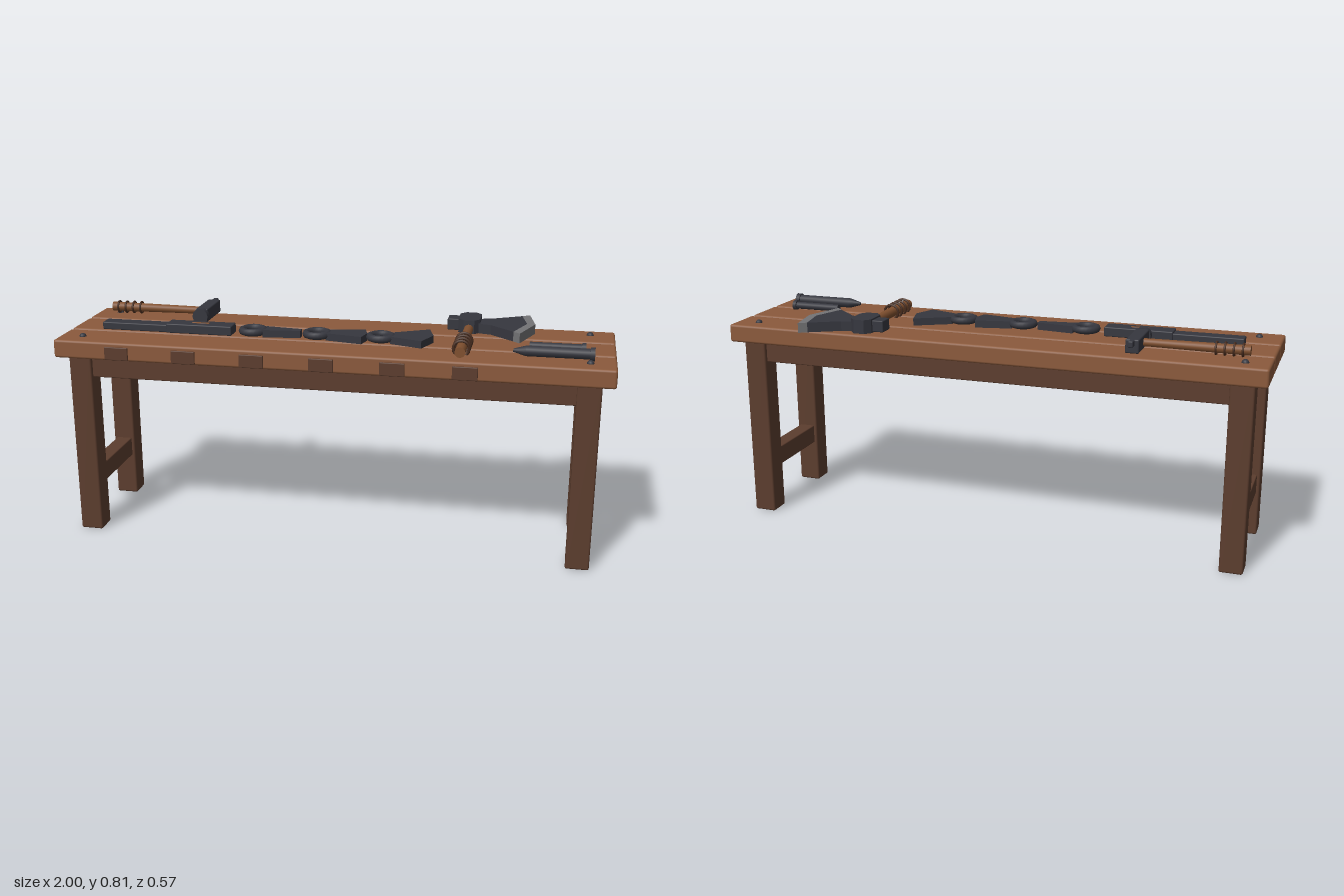
import * as THREE from 'three';
import { RoundedBoxGeometry } from 'three/addons/geometries/RoundedBoxGeometry.js';

const material = (name, color) => {
  const m = new THREE.MeshStandardMaterial({ color });
  m.name = name;
  return m;
};

export function createModel() {
  const plankWood = material('plank wood', 0x8b5a3c);
  const frameWood = material('frame wood', 0x5c3d2e);
  const handleWood = material('handle wood', 0x80502f);
  const wrap = material('leather wrap', 0x4a2e20);
  const iron = material('dark iron', 0x36373f);
  const steel = material('sharpened steel', 0x747476);

  const root = new THREE.Group();
  root.name = 'workbench';
  const group = (name) => {
    const g = new THREE.Group();
    g.name = name;
    root.add(g);
    return g;
  };
  const add = (parent, name, geometry, mat, x = 0, y = 0, z = 0) => {
    const mesh = new THREE.Mesh(geometry, mat);
    mesh.name = name;
    mesh.position.set(x, y, z);
    parent.add(mesh);
    return mesh;
  };
  // Box given by its limits on each axis, with softly rounded edges
  const block = (parent, name, mat, [x0, x1], [y0, y1], [z0, z1], r = 0.004) =>
    add(parent, name, new RoundedBoxGeometry(x1 - x0, y1 - y0, z1 - z0, 2, r), mat,
      (x0 + x1) / 2, (y0 + y1) / 2, (z0 + z1) / 2);
  // Flat outline of [x, z] points raised from y0 to y1
  const slab = (parent, name, mat, points, y0, y1) => {
    const shape = new THREE.Shape(points.map(([x, z]) => new THREE.Vector2(x, -z)));
    const g = new THREE.ExtrudeGeometry(shape, { depth: y1 - y0, bevelEnabled: false });
    return add(parent, name, g.rotateX(-Math.PI / 2), mat, 0, y0, 0);
  };
  // Rods along the x or z axis; r1 is the radius at the positive end
  const rodX = (parent, name, mat, x0, x1, y, z, r0, r1 = r0, sides = 12) =>
    add(parent, name, new THREE.CylinderGeometry(r1, r0, x1 - x0, sides).rotateZ(-Math.PI / 2),
      mat, (x0 + x1) / 2, y, z);
  const rodZ = (parent, name, mat, z0, z1, x, y, r0, r1 = r0, sides = 12) =>
    add(parent, name, new THREE.CylinderGeometry(r1, r0, z1 - z0, sides).rotateX(Math.PI / 2),
      mat, x, y, (z0 + z1) / 2);

  // Table top of three planks
  const top = group('tableTop');
  for (const z of [0.189, 0.014, -0.161]) {
    block(top, 'plank', plankWood, [-1, 1], [0.683, 0.75], [z - 0.081, z + 0.081], 0.009);
  }
  for (const x of [-0.913, 0.91]) for (const z of [-0.177, 0.2]) {
    add(top, 'bolt', new THREE.SphereGeometry(0.013, 12, 6, 0, Math.PI * 2, 0, Math.PI / 2),
      iron, x, 0.749, z);
  }

  // Legs, end stretchers and long aprons
  const frame = group('frame');
  for (const side of [-1, 1]) {
    const x = side * 0.913;
    for (const z of [0.202, -0.173]) {
      block(frame, 'leg', frameWood, [x - 0.042, x + 0.042], [0, 0.685], [z - 0.042, z + 0.042], 0.007);
    }
    block(frame, 'stretcher', frameWood, [x - 0.03, x + 0.03], [0.165, 0.238], [-0.135, 0.165]);
  }
  for (const z of [0.202, -0.173]) {
    block(frame, 'apron', frameWood, [-0.875, 0.875], [0.605, 0.685], [z - 0.027, z + 0.027]);
  }

  // Row of tool loops along the front edge
  const loops = group('toolLoops');
  for (let i = 0; i < 6; i++) {
    const x = -0.755 + i * 0.25;
    block(loops, 'toolLoop', frameWood, [x - 0.044, x + 0.044], [0.69, 0.738], [0.279, 0.287], 0.003);
  }

  // Hammer
  const hammer = group('hammer');
  rodX(hammer, 'hammerHandle', handleWood, -0.925, -0.54, 0.783, -0.14, 0.018, 0.014);
  for (let i = 0; i < 4; i++) {
    const ring = add(hammer, 'gripRing', new THREE.TorusGeometry(0.021, 0.004, 6, 16),
      wrap, -0.9 + i * 0.03, 0.783, -0.14);
    ring.rotation.y = Math.PI / 2;
  }
  block(hammer, 'hammerHead', iron, [-0.563, -0.515], [0.76, 0.809], [-0.222, -0.055], 0.005);
  rodZ(hammer, 'hammerFace', iron, -0.06, -0.034, -0.539, 0.784, 0.03);
  block(hammer, 'hammerPeen', iron, [-0.548, -0.53], [0.786, 0.809], [-0.25, -0.215]);

  // Long flat bar with a wooden inlay
  const bar = group('flatBar');
  block(bar, 'barTang', iron, [-0.88, -0.625], [0.75, 0.778], [0.034, 0.089]);
  block(bar, 'barBody', iron, [-0.63, -0.38], [0.75, 0.785], [0.028, 0.095]);
  block(bar, 'barInlay', handleWood, [-0.538, -0.472], [0.782, 0.787], [0.055, 0.067], 0.002);

  // Ring-handled scrapers, each with a different blade
  const scrapers = group('scrapers');
  const blades = [
    [-0.305, [[-0.262, 0.03], [-0.125, 0.047], [-0.125, 0.075], [-0.262, 0.09]]],
    [-0.065, [[-0.028, 0.032], [0.105, 0.005], [0.12, 0.06], [0.107, 0.115], [-0.028, 0.088]]],
    [0.17, [[0.207, 0.03], [0.335, -0.04], [0.358, 0.045], [0.325, 0.13], [0.207, 0.09]]],
  ];
  for (const [x, outline] of blades) {
    add(scrapers, 'scraperRing', new THREE.TorusGeometry(0.04, 0.014, 8, 24).rotateX(Math.PI / 2),
      iron, x, 0.768, 0.06);
    slab(scrapers, 'scraperBlade', iron, outline, 0.751, 0.778);
  }

  // Axe with wrapped grip and bright cutting edge
  const axe = group('axe');
  rodZ(axe, 'axeHandle', handleWood, -0.14, 0.224, 0.47, 0.77, 0.017, 0.019);
  for (const z of [0.065, 0.102, 0.139, 0.176]) {
    add(axe, 'gripRing', new THREE.TorusGeometry(0.028, 0.005, 6, 16), wrap, 0.47, 0.771, z);
  }
  slab(axe, 'axeEye', iron, [[0.43, -0.205], [0.45, -0.228], [0.49, -0.228], [0.51, -0.205],
    [0.51, -0.125], [0.49, -0.102], [0.45, -0.102], [0.43, -0.125]], 0.752, 0.803);
  block(axe, 'axePoll', iron, [0.388, 0.432], [0.755, 0.798], [-0.197, -0.137]);
  slab(axe, 'axeBlade', iron, [[0.505, -0.195], [0.55, -0.208], [0.657, -0.268], [0.68, -0.151],
    [0.637, -0.028], [0.55, -0.108], [0.505, -0.118]], 0.752, 0.788);
  slab(axe, 'axeEdge', steel, [[0.657, -0.268], [0.685, -0.287], [0.71, -0.15], [0.661, -0.004],
    [0.637, -0.028], [0.68, -0.151]], 0.752, 0.788);

  // Two metal punches with round heads
  const punches = group('punches');
  rodX(punches, 'smallPunch', iron, 0.7, 0.885, 0.768, 0.075, 0.014);
  rodX(punches, 'smallPunchHead', iron, 0.88, 0.894, 0.768, 0.075, 0.019);
  rodX(punches, 'largePunch', iron, 0.692, 0.912, 0.772, 0.162, 0.019);
  rodX(punches, 'largePunchTip', iron, 0.648, 0.692, 0.772, 0.162, 0.006, 0.019);
  rodX(punches, 'largePunchHead', iron, 0.908, 0.924, 0.772, 0.162, 0.024);

  return root;
}
